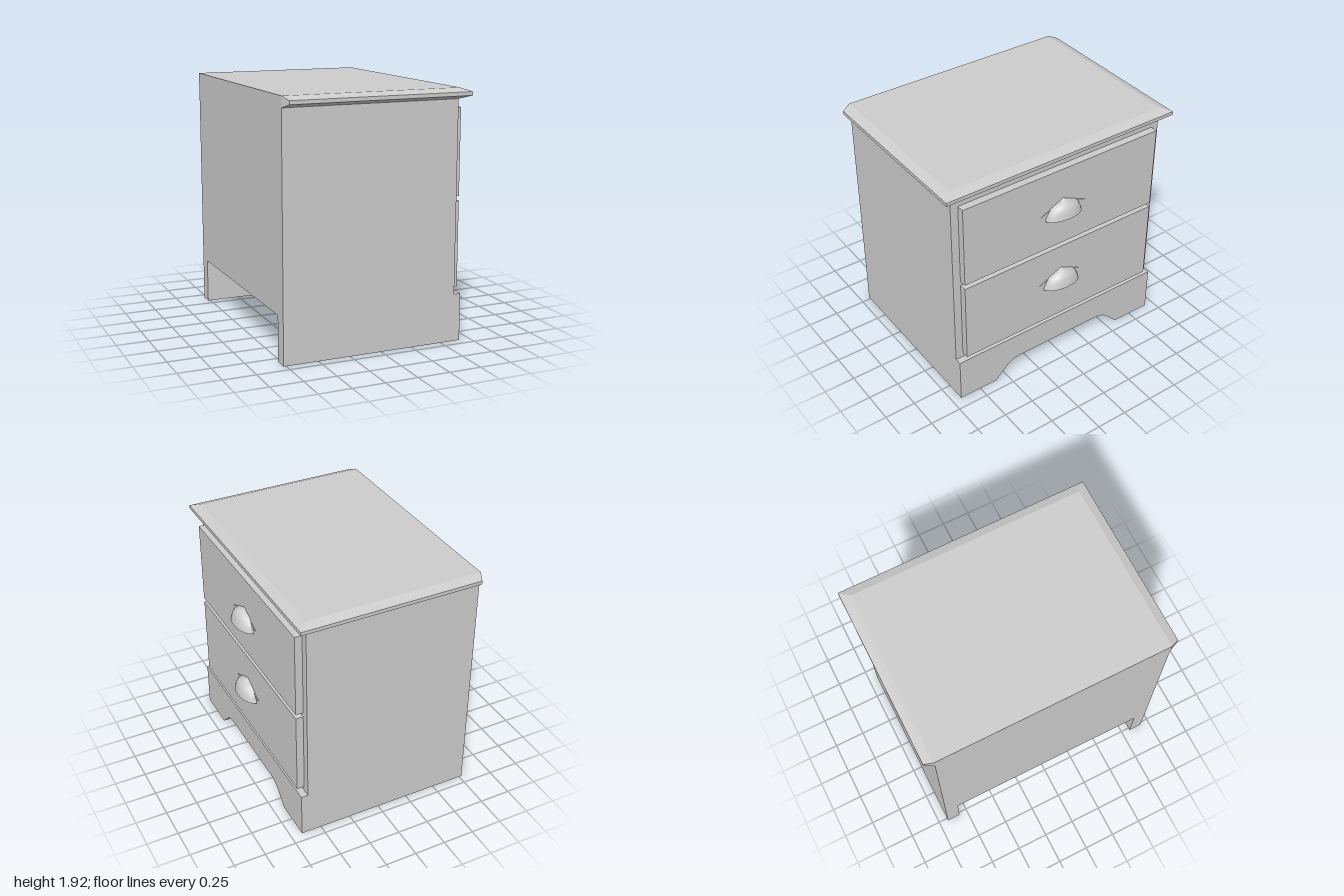
import * as THREE from 'three';

const grey = new THREE.MeshStandardMaterial({ color: 0xcccccc, flatShading: true });
const smoothGrey = new THREE.MeshStandardMaterial({ color: 0xcccccc, side: THREE.DoubleSide });

function mesh(name, geometry, material = grey) {
  const m = new THREE.Mesh(geometry, material);
  m.name = name;
  return m;
}

// Box given by its limits on each axis
function box(name, x0, x1, y0, y1, z0, z1) {
  const g = new THREE.BoxGeometry(x1 - x0, y1 - y0, z1 - z0);
  g.translate((x0 + x1) / 2, (y0 + y1) / 2, (z0 + z1) / 2);
  return mesh(name, g);
}

// Extrude a shape drawn in the z-y plane from x0 to x1
function extrudeX(shape, x0, x1) {
  const g = new THREE.ExtrudeGeometry(shape, { depth: x1 - x0, bevelEnabled: false, curveSegments: 6 });
  return g.rotateY(Math.PI / 2).translate(x0, 0, 0);
}

// Table top: stacked outlines, widest in the middle, flush at the back
function topGeometry() {
  const levels = [ // y, back corner x, front x, half width
    [1.84, -0.77, 0.61, 0.93],
    [1.867, -0.74, 0.682, 1],
    [1.895, -0.74, 0.682, 1],
    [1.922, -0.77, 0.61, 0.93],
  ];
  const rings = levels.map(([y, b, f, w]) => [
    [-0.77, y, 0.93], [b, y, w], [f, y, w], [f, y, -w], [b, y, -w], [-0.77, y, -0.93],
  ]);
  const pos = [];
  const tri = (...pts) => pts.forEach((p) => pos.push(...p));
  for (let k = 0; k < 3; k++) {
    for (let i = 0; i < 6; i++) {
      const j = (i + 1) % 6, lo = rings[k], hi = rings[k + 1];
      tri(lo[i], lo[j], hi[j]);
      tri(lo[i], hi[j], hi[i]);
    }
  }
  for (let i = 1; i < 5; i++) {
    tri(rings[3][0], rings[3][i], rings[3][i + 1]);
    tri(rings[0][0], rings[0][i + 1], rings[0][i]);
  }
  const g = new THREE.BufferGeometry();
  g.setAttribute('position', new THREE.Float32BufferAttribute(pos, 3));
  g.computeVertexNormals();
  return g;
}

// Cup pull: half-elliptic arcs that shrink towards a peak, open below
function cupGeometry() {
  const rows = [ // y, half width, depth
    [0, 0.16, 0.095], [0.04, 0.148, 0.09], [0.075, 0.132, 0.083],
    [0.105, 0.1, 0.07], [0.125, 0.05, 0.045], [0.135, 0.025, 0.022], [0.15, 0, 0],
  ];
  const n = 12, pos = [], index = [];
  rows.forEach(([y, w, d], r) => {
    for (let i = 0; i <= n; i++) {
      const a = Math.PI * (i / n - 0.5);
      const lift = r === 0 ? 0.018 * Math.cos(a) : 0;
      pos.push(d * Math.cos(a), y + lift, -w * Math.sin(a));
      if (r && i) {
        const q = r * (n + 1) + i, p = q - n - 1;
        index.push(p - 1, p, q, p - 1, q, q - 1);
      }
    }
  });
  const g = new THREE.BufferGeometry();
  g.setAttribute('position', new THREE.Float32BufferAttribute(pos, 3));
  g.setIndex(index);
  g.computeVertexNormals();
  return g;
}

function createHandle(y) {
  const handle = new THREE.Group();
  handle.name = 'handle';
  handle.add(mesh('cup', cupGeometry(), smoothGrey));
  // Thin mounting wings lying on the drawer front
  for (const s of [1, -1]) {
    const wing = new THREE.Shape([
      new THREE.Vector2(s * 0.2, 0.055), new THREE.Vector2(s * 0.12, 0.088), new THREE.Vector2(s * 0.14, 0.04),
    ]);
    handle.add(mesh('wing', extrudeX(wing, 0, 0.004)));
  }
  handle.position.set(0.666, y, 0);
  return handle;
}

export function createModel() {
  const model = new THREE.Group();
  model.name = 'nightstand';

  // Cabinet body with its two sides reaching the ground
  const W = 0.927, inner = 0.82, floor = 0.35;
  const body = new THREE.Shape([
    [-W, 0], [-inner, 0], [-inner, floor], [inner, floor], [inner, 0], [W, 0], [W, 1.84], [-W, 1.84],
  ].map(([x, y]) => new THREE.Vector2(x, y)));
  model.add(mesh('cabinet', extrudeX(body, -0.77, 0.608)));

  // Skirt with a curved cut-out between the feet
  const skirt = new THREE.Shape();
  skirt.moveTo(-W, 0);
  skirt.lineTo(-0.6, 0);
  skirt.lineTo(-0.54, 0.06);
  skirt.bezierCurveTo(-0.48, 0.12, -0.45, 0.148, -0.38, 0.148);
  skirt.lineTo(0.38, 0.148);
  skirt.bezierCurveTo(0.45, 0.148, 0.48, 0.12, 0.54, 0.06);
  skirt.lineTo(0.6, 0);
  skirt.lineTo(W, 0);
  skirt.lineTo(W, 0.367);
  skirt.lineTo(-W, 0.367);
  model.add(mesh('skirt', extrudeX(skirt, 0.608, 0.661)));

  model.add(mesh('top', topGeometry()));

  // Drawer fronts and their pulls
  for (const y of [0.403, 1.104]) {
    model.add(box('drawerFront', 0.608, 0.666, y, y + 0.665, -0.865, 0.865));
    model.add(createHandle(y + (y < 1 ? 0.312 : 0.262)));
  }
  return model;
}
